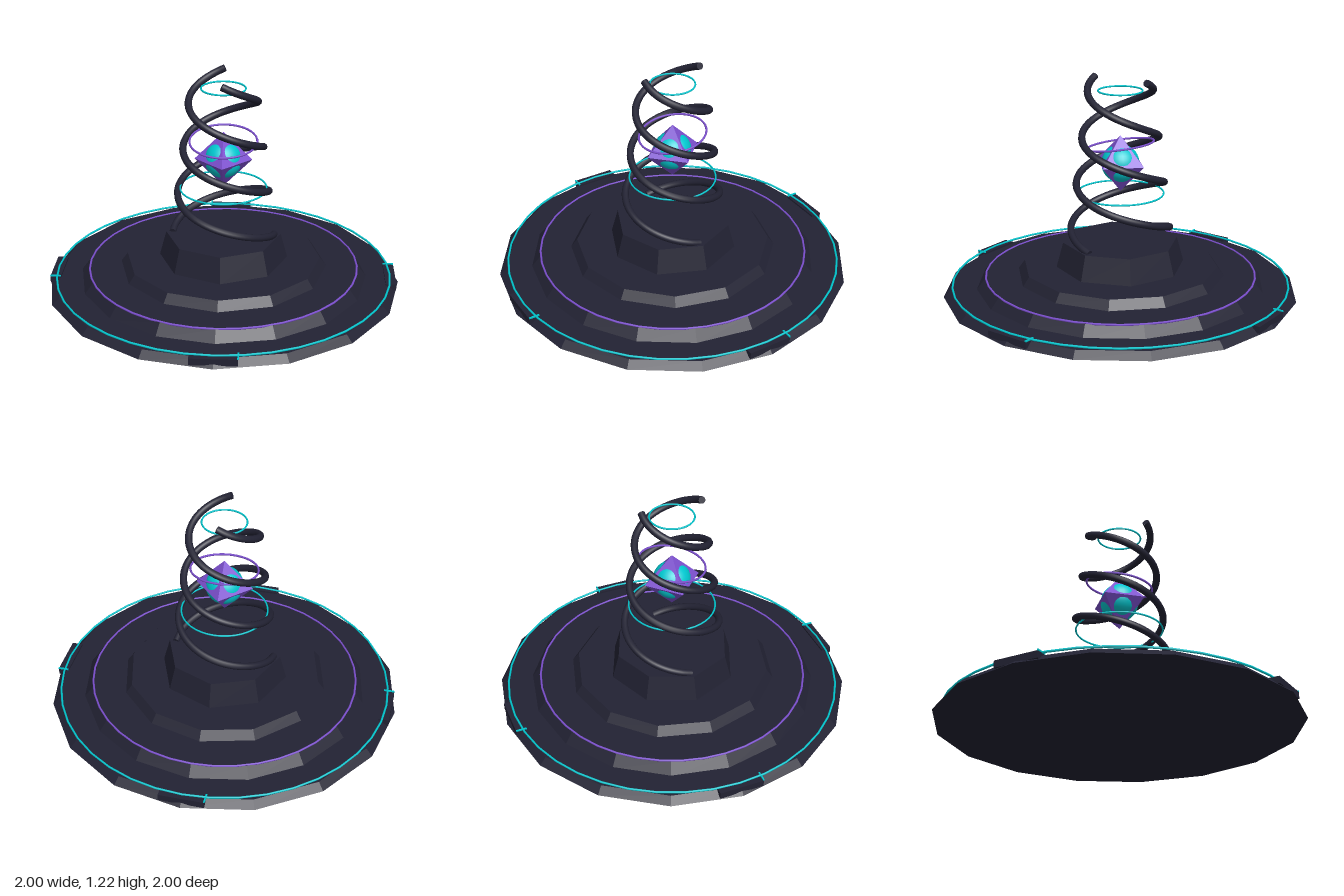
import * as THREE from 'three';

export function createModel() {
  const model = new THREE.Group();
  const mat = (name, color, extra = {}) => Object.assign(new THREE.MeshStandardMaterial({ color, ...extra }), { name });
  const dark = mat('dark slate', 0x222233, { flatShading: true });
  const darkSmooth = mat('dark slate smooth', 0x222233);
  const teal = mat('teal', 0x00c8d0);
  const purple = mat('purple', 0x7d50d0);

  const add = (name, geometry, material, x = 0, y = 0, z = 0, parent = model) => {
    const mesh = new THREE.Mesh(geometry, material);
    mesh.name = name;
    mesh.position.set(x, y, z);
    parent.add(mesh);
    return mesh;
  };

  // Stepped base: bottom radius, top radius, bottom y, top y, sides
  [
    ['baseTier', 1, 0.96, 0, 0.037, 16],
    ['middleTier', 0.82, 0.768, 0.03, 0.095, 16],
    ['upperTier', 0.59, 0.55, 0.09, 0.145, 12],
    ['hub', 0.365, 0.325, 0.14, 0.286, 8],
  ].forEach(([name, rb, rt, y0, y1, sides]) =>
    add(name, new THREE.CylinderGeometry(rt, rb, y1 - y0, sides), dark, 0, (y0 + y1) / 2, 0));

  // Four rim blocks, each with a thin light strip at one end
  for (let i = 0; i < 4; i++) {
    const block = new THREE.Group();
    block.name = 'rimBlock';
    block.rotation.y = i * Math.PI / 2;
    add('rimBlockBody', new THREE.BoxGeometry(0.25, 0.038, 0.06), dark, 0, 0.028, 0.95, block);
    add('rimBlockLight', new THREE.BoxGeometry(0.008, 0.008, 0.06), teal, 0.125, 0.05, 0.95, block);
    model.add(block);
  }

  // Thin light rings on the base and around the helix
  const ring = (name, r, y, material, tilt = 0, tube = 0.006) => {
    const geometry = new THREE.TorusGeometry(r, tube, 6, 40).rotateX(Math.PI / 2 + tilt);
    add(name, geometry, material, 0, y, 0);
  };
  ring('outerBaseRing', 0.95, 0.05, teal);
  ring('innerBaseRing', 0.762, 0.095, purple);
  ring('lowerHelixRing', 0.242, 0.565, teal, 0, 0.005);
  ring('tiltedHelixRing', 0.187, 0.841, purple, 0.16);
  ring('upperHelixRing', 0.122, 1.145, teal, 0, 0.005);

  // Two tapering helix strands, 1.75 turns each, with capped ends
  for (const start of [0, Math.PI]) {
    const points = [];
    for (let i = 0; i <= 56; i++) {
      const t = i / 56;
      const a = start + t * Math.PI * 3.5;
      const r = 0.288 - 0.115 * t;
      points.push(new THREE.Vector3(r * Math.cos(a), 0.285 + 0.922 * t, r * Math.sin(a)));
    }
    const path = new THREE.CatmullRomCurve3(points);
    add('helixStrand', new THREE.TubeGeometry(path, 120, 0.02, 10), darkSmooth);
    for (const t of [0, 1]) {
      const p = path.getPoint(t);
      const cap = add('strandCap', new THREE.CircleGeometry(0.02, 10), darkSmooth, p.x, p.y, p.z);
      cap.lookAt(p.clone().addScaledVector(path.getTangent(t), t ? 1 : -1));
    }
  }

  // Crystal with a glowing core that bulges through its faces
  add('crystal', new THREE.OctahedronGeometry(0.16), purple, 0, 0.735, 0);
  add('crystalCore', new THREE.SphereGeometry(0.106, 32, 20), teal, 0, 0.735, 0);

  return model;
}
